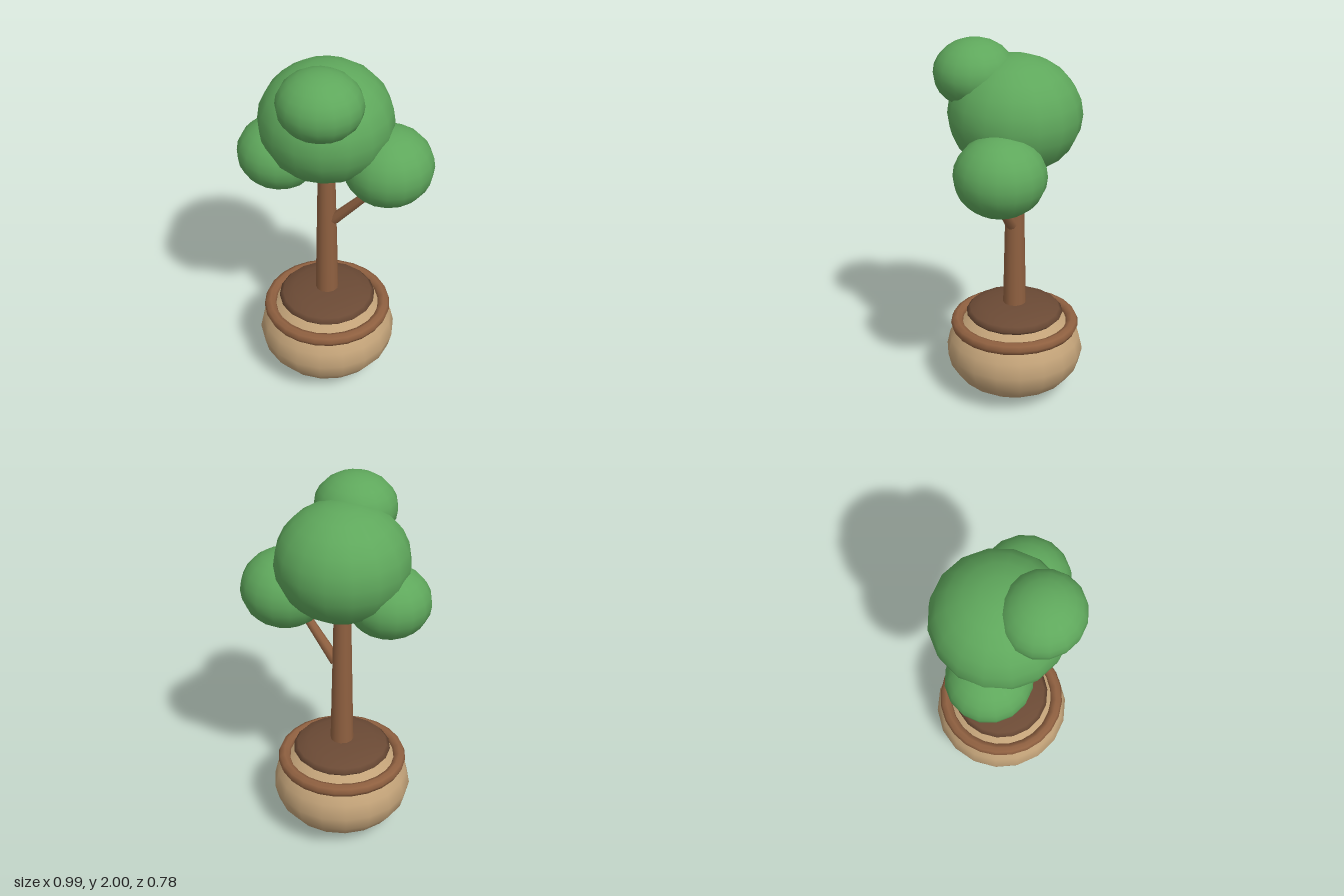
import * as THREE from 'three';

const paint = (name, color) => {
  const m = new THREE.MeshStandardMaterial({ color });
  m.name = name;
  return m;
};

export function createModel() {
  const tree = new THREE.Group();
  tree.name = 'pottedTree';
  const clay = paint('clay', 0xc2a278);
  const wood = paint('wood', 0x8f6040);
  const soilBrown = paint('soilBrown', 0x6b4a35);
  const leafGreen = paint('leafGreen', 0x5fa85c);
  const CX = -0.057, CZ = -0.012; // axis of pot and trunk

  const add = (name, geometry, material, x, y, z) => {
    const mesh = new THREE.Mesh(geometry, material);
    mesh.name = name;
    mesh.position.set(x, y, z);
    tree.add(mesh);
    return mesh;
  };

  // Squashed sphere with a corner on the z axis
  const blob = (name, material, [x, y, z], [rx, ry, rz], sides, rings) =>
    add(name, new THREE.SphereGeometry(1, sides, rings).rotateY(Math.PI / 2).scale(rx, ry, rz), material, x, y, z);

  // Tapered limb between two points
  const limb = (name, from, to, r0, r1, sides) => {
    const a = new THREE.Vector3(...from), b = new THREE.Vector3(...to);
    const dir = b.clone().sub(a), mid = a.clone().add(b).multiplyScalar(0.5);
    const mesh = add(name, new THREE.CylinderGeometry(r1, r0, dir.length(), sides), wood, mid.x, mid.y, mid.z);
    mesh.quaternion.setFromUnitVectors(new THREE.Vector3(0, 1, 0), dir.normalize());
  };

  // Pot, rim and soil mound
  blob('pot', clay, [CX, 0.257, CZ], [0.377, 0.257, 0.377], 18, 10);
  add('potRim', new THREE.TorusGeometry(0.317, 0.034, 8, 24).rotateX(Math.PI / 2), wood, CX, 0.415, CZ);
  blob('soil', soilBrown, [CX, 0.48, CZ], [0.265, 0.058, 0.265], 18, 8);

  // Trunk and side branch
  limb('trunk', [CX, 0.48, CZ], [CX, 1.5, CZ], 0.064, 0.041, 12);
  limb('branch', [-0.015, 1.01, CZ], [0.225, 1.28, -0.02], 0.03, 0.021, 8);

  // Foliage
  blob('mainCrown', leafGreen, [CX, 1.615, CZ], [0.346, 0.307, 0.348], 16, 12);
  blob('rightFoliage', leafGreen, [-0.277, 1.42, 0.08], [0.221, 0.188, 0.217], 16, 12);
  blob('leftFoliage', leafGreen, [0.26, 1.395, -0.079], [0.235, 0.208, 0.236], 16, 12);
  blob('topFoliage', leafGreen, [0.008, 1.825, 0.185], [0.218, 0.175, 0.209], 16, 12);

  return tree;
}
